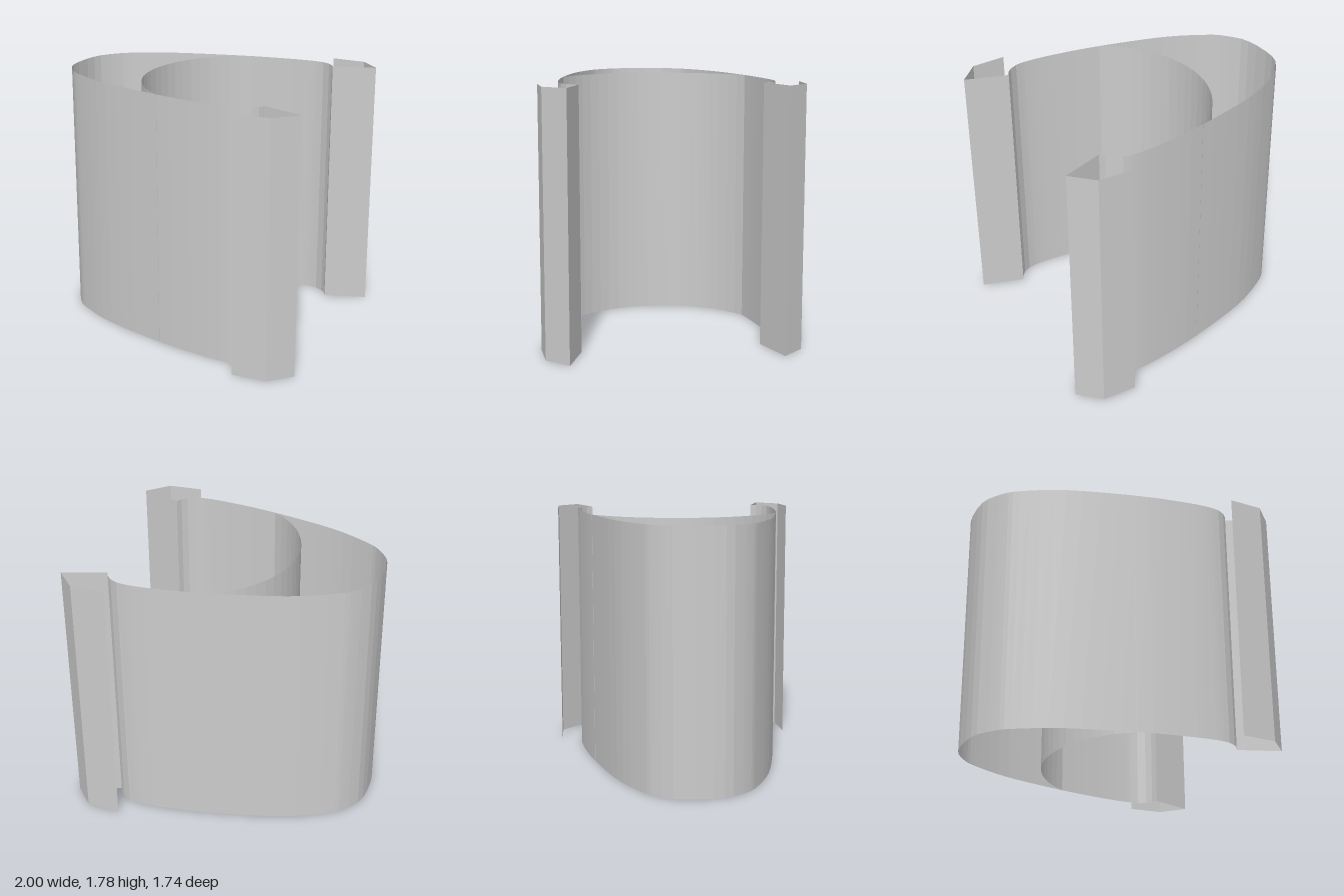
import * as THREE from 'three';

const HEIGHT = 1.78;
const material = new THREE.MeshStandardMaterial({ color: 0xcccccc, flatShading: true, side: THREE.DoubleSide });

// Upright thin sheet that follows a plan path of [x, z] points
function sheet(name, path) {
  const geometry = new THREE.PlaneGeometry(1, 1, path.length - 1, 1);
  const pos = geometry.attributes.position;
  for (let i = 0; i < pos.count; i++) {
    const [x, z] = path[i % path.length];
    pos.setXYZ(i, x, i < path.length ? HEIGHT : 0, z);
  }
  const flat = geometry.toNonIndexed();
  flat.computeVertexNormals();
  const mesh = new THREE.Mesh(flat, material);
  mesh.name = name;
  return mesh;
}

const mirror = (path) => path.map(([x, z]) => [x, -z]);

export function createModel() {
  const group = new THREE.Group();
  group.name = 'clipShell';

  // Outer wall: blunt nose at -x, widening to the rounded lip at the opening
  const half = [[-0.97, 0.2], [-0.9, 0.3], [-0.8, 0.385], [-0.5, 0.53], [-0.03, 0.655],
    [0.3, 0.71], [0.5, 0.725], [0.6, 0.715]];
  const curve = new THREE.SplineCurve(half.map(([x, z]) => new THREE.Vector2(x, z)));
  const side = [[-1, 0.06], [-0.99, 0.14], ...curve.getPoints(28).map((p) => [p.x, p.y]),
    [0.655, 0.685], [0.69, 0.65], [0.71, 0.61]];
  group.add(sheet('outerWall', [...mirror(side).reverse(), ...side]));

  // Inner wall: shallow arc across the shell, hollow towards the opening
  const radius = 0.773, centre = 0.373, sweep = Math.asin(0.654 / radius);
  const arc = [];
  for (let i = 0; i <= 20; i++) {
    const a = -sweep + (2 * sweep * i) / 20;
    arc.push([centre - radius * Math.cos(a), radius * Math.sin(a)]);
  }
  group.add(sheet('innerWall', arc));

  // Hooked lips on both ends of the outer wall
  const hook = [[0.71, 0.61], [1, 0.71], [0.86, 0.857], [0.62, 0.87]];
  group.add(sheet('frontHook', hook), sheet('backHook', mirror(hook)));

  return group;
}
